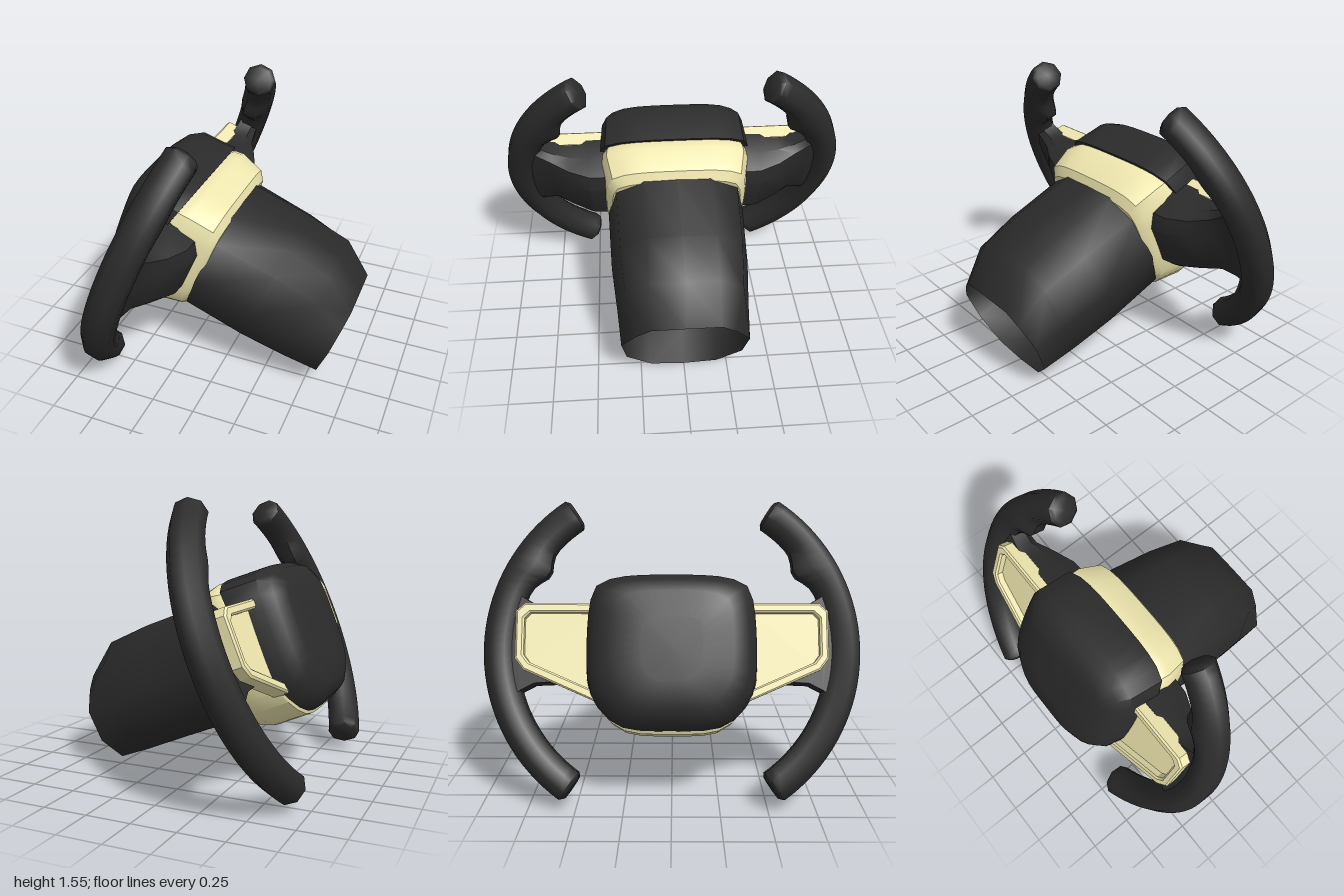
import * as THREE from 'three';
import { toCreasedNormals } from 'three/addons/utils/BufferGeometryUtils.js';

const dark = new THREE.MeshStandardMaterial({ color: 0x2b2b2b });
const darkOpen = new THREE.MeshStandardMaterial({ color: 0x2b2b2b, side: THREE.DoubleSide });
const cream = new THREE.MeshStandardMaterial({ color: 0xf0e8b0 });
const V = (x, y, z) => new THREE.Vector3(x, y, z);

// Skin a list of equal-length rings (counter-clockwise about the travel direction)
function loft(rings, caps = true, crease = 0.7) {
  const n = rings[0].length;
  const pts = rings.flat();
  const index = [];
  for (let i = 0; i < rings.length - 1; i++) {
    for (let j = 0; j < n; j++) {
      const a = i * n + j, b = i * n + (j + 1) % n;
      index.push(a, b, a + n, b, b + n, a + n);
    }
  }
  if (caps) {
    [0, rings.length - 1].forEach((i, end) => {
      const c = pts.length;
      pts.push(rings[i].reduce((s, p) => s.add(p), V(0, 0, 0)).divideScalar(n));
      for (let j = 0; j < n; j++) {
        const a = i * n + j, b = i * n + (j + 1) % n;
        if (end) index.push(c, a, b); else index.push(c, b, a);
      }
    });
  }
  const g = new THREE.BufferGeometry().setFromPoints(pts);
  g.setIndex(index);
  return toCreasedNormals(g, crease);
}

// Copy of an unindexed geometry reflected in z
function mirrorZ(geo) {
  const g = geo.clone().scale(1, 1, -1);
  const index = [];
  for (let i = 0; i < g.attributes.position.count; i += 3) index.push(i, i + 2, i + 1);
  g.setIndex(index);
  return g;
}

// Right half outline [z, y], top to bottom, completed to a closed outline
const fullOutline = (half) =>
  [...half, ...half.slice(1, -1).reverse().map(([z, y]) => [-z, y])];

// Shield-shaped outline shared by hub and collar
const shield = new THREE.CatmullRomCurve3(
  fullOutline([[0, 0.372], [0.3, 0.355], [0.405, 0.31], [0.44, 0.2], [0.44, -0.2],
    [0.4, -0.3], [0.27, -0.42], [0, -0.445]]).map(([z, y]) => V(0, y, z)),
  true, 'centripetal').getSpacedPoints(36).slice(0, -1);

// Shield ring at depth x, leaning by shear, scaled about its middle
function shieldRing(x, shear, sz, sy, drop = 1) {
  const mid = -0.04;
  return shield.map((p) => {
    const y = mid + (p.y - mid) * sy * (p.y < mid ? drop : 1);
    return V(x + shear * y, y, p.z * sz);
  });
}

function hubGeometry() {
  return loft([
    shieldRing(-0.268, 0, 0.35, 0.4), shieldRing(-0.26, 0, 0.7, 0.73),
    shieldRing(-0.215, 0, 0.88, 0.89), shieldRing(-0.155, 0, 0.97, 0.98),
    shieldRing(-0.02, 0.24, 1, 1)]);
}

function collarGeometry() {
  return loft([
    shieldRing(-0.05, 0.24, 0.92, 0.92), shieldRing(0, 0.24, 0.97, 0.97, 1.07),
    shieldRing(0.11, 0.03, 0.98, 0.99, 1.07), shieldRing(0.265, 0, 0.91, 0.92),
    shieldRing(0.305, 0, 0.84, 0.8)], true, 0.6);
}

// Open, hollow column shroud
function columnGeometry() {
  const sections = [
    [0.29, [[0, 0.3], [0.19, 0.295], [0.35, 0.2], [0.405, -0.06], [0.36, -0.27], [0.2, -0.375], [0, -0.385]]],
    [0.66, [[0, 0.302], [0.19, 0.297], [0.34, 0.2], [0.395, -0.06], [0.36, -0.27], [0.2, -0.38], [0, -0.392]]],
    [0.925, [[0, 0.284], [0.19, 0.28], [0.32, 0.18], [0.37, -0.06], [0.345, -0.26], [0.195, -0.387], [0, -0.4]]],
    [1.126, [[0, 0.134], [0.19, 0.132], [0.27, 0.06], [0.355, -0.06], [0.33, -0.245], [0.19, -0.385], [0, -0.406]]]];
  return loft(sections.map(([x, half]) => fullOutline(half).map(([z, y]) => V(x, y, z))), false, 0.9);
}

// Curved hand grip with a thumb bump on the inside of its upper half
function gripGeometry() {
  const rings = [];
  const steps = 36, span = 55;
  for (let i = -1; i <= steps + 1; i++) {
    const k = Math.min(Math.max(i, 0), steps);
    const tip = i !== k;
    const deg = -span + (2 * span * k) / steps + (tip ? Math.sign(i) * 1.2 : 0);
    const t = THREE.MathUtils.degToRad(deg);
    const r = tip ? 0.068 : 0.09;
    const bump = 0.06 * Math.exp(-(((deg - 32) / 5.5) ** 2));
    const ring = [];
    for (let j = 0; j < 8; j++) {
      const f = ((j + 0.5) * Math.PI) / 4;
      const radial = 0.886 + Math.cos(f) * (r + (Math.cos(f) < 0 ? bump : 0)) * 1.02;
      ring.push(V(Math.sin(f) * r * 1.05, Math.sin(t) * radial, 0.025 + Math.cos(t) * radial));
    }
    rings.push(ring);
  }
  return loft(rings, true, 0.85);
}

// Chamfered spoke, thinning and flaring into the grip
function spokeGeometry() {
  const section = [[-0.06, -0.2], [0.08, -0.21], [0.203, -0.172], [0.24, -0.125],
    [0.246, 0.125], [0.203, 0.205], [0.09, 0.236], [-0.06, 0.228]];
  const stations = [[0.35, 1, 1], [0.5, 0.97, 0.97], [0.62, 0.72, 0.94], [0.72, 0.42, 0.97],
    [0.79, 0.32, 1.15], [0.86, 0.25, 1.4]];
  return loft(stations.map(([z, sx, sy]) =>
    section.map(([x, y]) => V(x > 0 ? x * sx : x * 0.9, y * sy, z))), true, 0.6);
}

// Outline in (z, y) extruded along x, starting at depth x
function plateGeometry(outline, hole, x, depth, bevel) {
  const toPoints = (list) => list.map(([z, y]) => new THREE.Vector2(-z, y));
  const shape = new THREE.Shape(toPoints(outline));
  if (hole) shape.holes.push(new THREE.Path(toPoints(hole)));
  const g = new THREE.ExtrudeGeometry(shape, {
    depth, bevelEnabled: bevel > 0, bevelSize: bevel, bevelThickness: bevel,
    bevelOffset: -bevel, bevelSegments: 1 });
  return toCreasedNormals(g.rotateY(Math.PI / 2).translate(x, 0, 0), 0.5);
}

export function createModel() {
  const model = new THREE.Group();
  model.name = 'steeringYoke';

  // Everything is built along the column axis (x), then tilted
  const tilted = new THREE.Group();
  tilted.name = 'tiltedAssembly';
  tilted.rotation.z = -0.381;
  tilted.position.set(-0.372, 0.796, 0);
  model.add(tilted);

  const add = (name, geometry, material) => {
    const mesh = new THREE.Mesh(geometry, material);
    mesh.name = name;
    tilted.add(mesh);
  };
  const addPair = (name, geometry, material) => {
    add('left' + name, mirrorZ(geometry), material);
    add('right' + name, geometry, material);
  };

  add('hub', hubGeometry(), dark);
  add('collar', collarGeometry(), cream);
  add('column', columnGeometry(), darkOpen);
  addPair('Grip', gripGeometry(), dark);
  addPair('Spoke', spokeGeometry(), dark);

  // Side control pads: raised frame around a recessed panel
  const frame = [[0.38, 0.22], [0.77, 0.22], [0.815, 0.18], [0.815, -0.07], [0.77, -0.13], [0.38, -0.3]];
  const recess = [[0.42, 0.17], [0.74, 0.17], [0.77, 0.14], [0.77, -0.05], [0.74, -0.09], [0.42, -0.23]];
  addPair('PadFrame', plateGeometry(frame, recess, -0.11, 0.08, 0.01), cream);
  addPair('PadPanel', plateGeometry(recess, null, -0.075, 0.04, 0), cream);

  return model;
}
